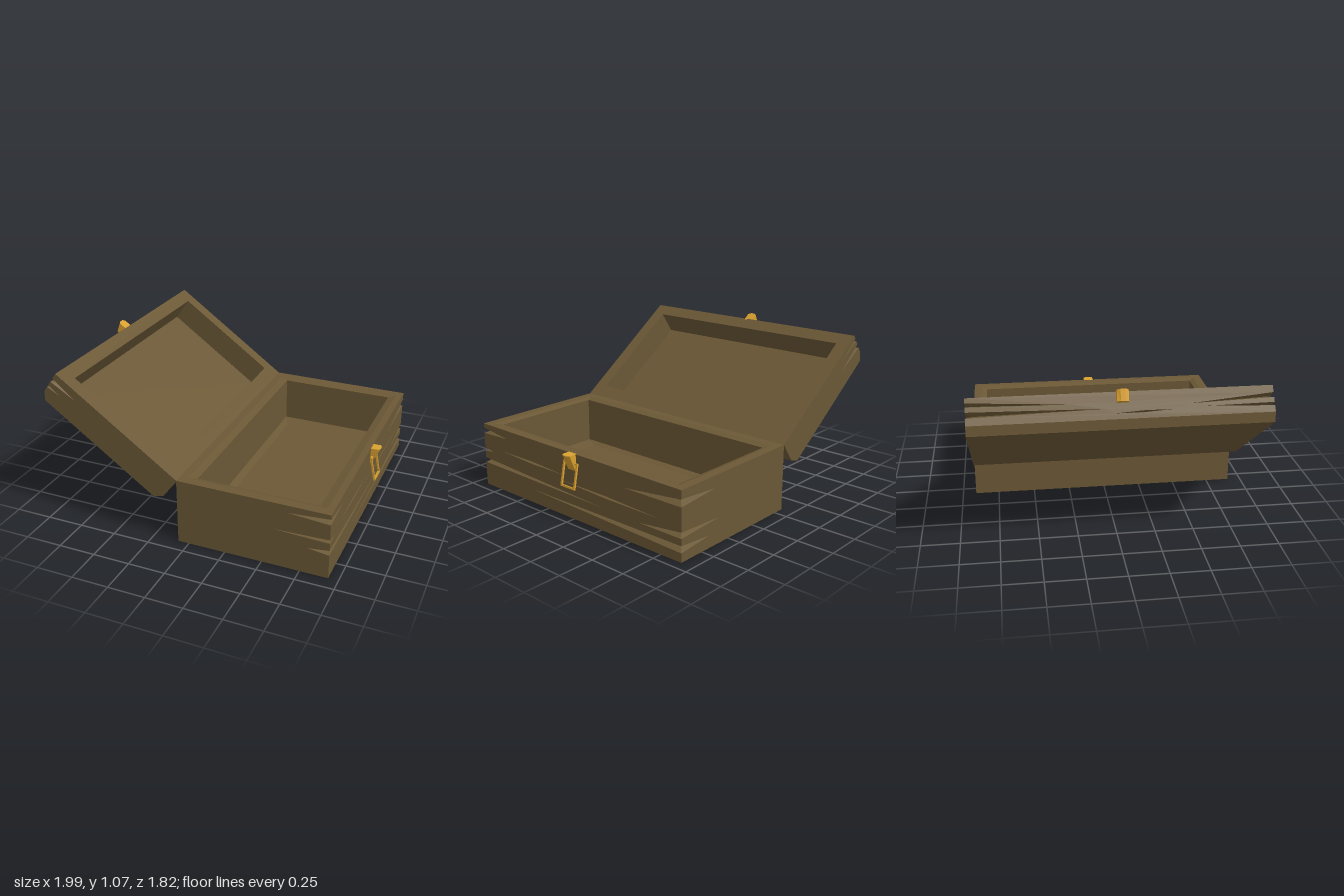
import * as THREE from 'three';

const V = (x, y, z) => new THREE.Vector3(x, y, z);
const LEN = 1.01, HALF = 0.91; // front-to-back length, half width

const wood = new THREE.MeshStandardMaterial({ color: 0x6b5836, flatShading: true });
const brass = new THREE.MeshStandardMaterial({ color: 0xd9a030, flatShading: true });

// Collects flat faces; each triangle is turned to face the given direction
class Faces {
  constructor() { this.pos = []; }
  tri(a, b, c, dir) {
    const n = b.clone().sub(a).cross(c.clone().sub(a));
    for (const p of n.dot(dir) < 0 ? [a, c, b] : [a, b, c]) this.pos.push(p.x, p.y, p.z);
  }
  quad(a, b, c, d, dir) { this.tri(a, b, c, dir); this.tri(a, c, d, dir); }
  // 2D outline with holes, mapped into space
  panel(outline, holes, map, dir) {
    const toV2 = (list) => list.map(([x, y]) => new THREE.Vector2(x, y));
    const o = toV2(outline), h = holes.map(toV2);
    const all = [...o, ...h.flat()].map((p) => map(p.x, p.y));
    for (const [a, b, c] of THREE.ShapeUtils.triangulateShape(o, h)) this.tri(all[a], all[b], all[c], dir);
  }
  geometry() {
    const g = new THREE.BufferGeometry();
    g.setAttribute('position', new THREE.Float32BufferAttribute(this.pos, 3));
    g.computeVertexNormals();
    return g;
  }
}

// Hollow wooden half: a profile (first edge = front face) swept across z,
// its rim at y = 0, with splits in the grain at the front corners.
function crackedTray({ profile, cavity, corners, slits }) {
  const f = new Faces(), up = V(0, 1, 0), down = V(0, -1, 0);
  const [[, y0], [, y1]] = profile;
  const notches = { 1: [], '-1': [] };

  // splits running round a front corner: [side, low, high, tip z, tip y, side length]
  for (const [s, lo, hi, tz, ty, len] of corners) {
    notches[s].push({ lo, hi, tz, ty, len });
    const mid = (lo + hi) / 2, z = s * HALF;
    const tip = V(LEN, ty, tz), end = V(LEN - len, mid, z), deep = V(LEN - 0.04, mid, z - s * 0.04);
    for (const [y, dir] of [[hi, down], [lo, up]]) {
      f.tri(V(LEN, y, z), tip, deep, dir);
      f.tri(V(LEN, y, z), deep, end, dir);
    }
  }

  // side faces
  for (const s of [1, -1]) {
    notches[s].sort((a, b) => a.lo - b.lo);
    const edge = notches[s].flatMap((n) => [[LEN, n.lo], [LEN - n.len, (n.lo + n.hi) / 2], [LEN, n.hi]]);
    f.panel([profile[0], ...edge, ...profile.slice(1)], [], (x, y) => V(x, y, s * HALF), V(0, 0, s));
  }

  // front face, with slits inside it: [z start, y start, z end, y end, width]
  const rise = (s) => notches[s].flatMap((n) => [[s * HALF, n.lo], [n.tz, n.ty], [s * HALF, n.hi]]);
  const holes = slits.map(([za, ya, zb, yb, w]) => {
    const z = (za + zb) / 2, y = (ya + yb) / 2, deep = V(LEN - 0.02, y, z);
    for (const [edge, dir] of [[y + w / 2, down], [y - w / 2, up]])
      for (const [tz, ty] of [[za, ya], [zb, yb]]) f.tri(V(LEN, ty, tz), V(LEN, edge, z), deep, dir);
    return [[za, ya], [z, y + w / 2], [zb, yb], [z, y - w / 2]];
  });
  f.panel([[-HALF, y0], [HALF, y0], ...rise(1), [HALF, y1], [-HALF, y1], ...rise(-1).reverse()],
    holes, (z, y) => V(LEN, y, z), V(1, 0, 0));

  // remaining outer faces
  for (let i = 1; i < profile.length; i++) {
    const [ax, ay] = profile[i], [bx, by] = profile[(i + 1) % profile.length];
    if (ay === 0 && by === 0) continue;
    f.quad(V(ax, ay, -HALF), V(bx, by, -HALF), V(bx, by, HALF), V(ax, ay, HALF), V(by - ay, ax - bx, 0));
  }

  // rim, cavity walls and floor, from rings [inset x, inset z, y]
  const rings = cavity.map(([ix, iz, y]) => {
    const a = 0.105 + ix, b = 0.915 - ix, z = 0.815 - iz;
    return [V(a, y, -z), V(b, y, -z), V(b, y, z), V(a, y, z)];
  });
  const last = rings[rings.length - 1], open = last[0].y < 0 ? up : down;
  f.panel([[0, -HALF], [LEN, -HALF], [LEN, HALF], [0, HALF]],
    [rings[0].map((p) => [p.x, p.z])], (x, z) => V(x, 0, z), open);
  for (let r = 1; r < rings.length; r++) {
    for (let i = 0; i < 4; i++) {
      const j = (i + 1) % 4, a = rings[r - 1][i], b = rings[r - 1][j];
      const inward = V(LEN / 2 - (a.x + b.x) / 2, 0, -(a.z + b.z) / 2).normalize().addScaledVector(open, 0.2);
      f.quad(a, b, rings[r][j], rings[r][i], inward);
    }
  }
  f.quad(...last, open);
  return f.geometry();
}

// Faceted catch, tapering from its thick end at y = 0
function catchBlock(height, thin, dir) {
  const d = 0.063;
  const plan = new THREE.Shape([[-0.01, -0.035], [d * 0.8, -0.035], [d, -0.014], [d, 0.014], [d * 0.8, 0.035], [-0.01, 0.035]]
    .map(([x, y]) => new THREE.Vector2(x, y)));
  const g = new THREE.ExtrudeGeometry(plan, { depth: height, bevelEnabled: false }).rotateX(-Math.PI / 2);
  if (dir < 0) g.translate(0, -height, 0);
  const p = g.attributes.position;
  for (let i = 0; i < p.count; i++) {
    const t = Math.abs(p.getY(i)) / height;
    if (p.getX(i) > 0) p.setX(i, p.getX(i) * (1 - t * (1 - thin)));
  }
  g.translate(LEN, 0, 0).computeVertexNormals();
  return g;
}

function add(parent, name, geometry, material) {
  const mesh = new THREE.Mesh(geometry, material);
  mesh.name = name;
  parent.add(mesh);
  return mesh;
}

export function createModel() {
  const model = new THREE.Group();
  model.name = 'woodenBox';

  // Both halves share the hinge line as their origin
  const base = new THREE.Group();
  base.name = 'base';
  const lid = new THREE.Group();
  lid.name = 'lid';
  for (const half of [base, lid]) {
    half.position.set(-0.075, 0.45, 0);
    model.add(half);
  }
  lid.rotation.z = THREE.MathUtils.degToRad(144.5);

  add(base, 'baseTray', crackedTray({
    profile: [[LEN, -0.45], [LEN, 0], [0, 0], [0, -0.45]],
    cavity: [[-0.05, -0.035, 0], [0, 0, -0.012], [0, 0, -0.33], [0.048, 0.095, -0.345]],
    corners: [
      [1, -0.07, -0.03, 0.66, -0.06, 0.27],
      [1, -0.2, -0.175, 0.82, -0.19, 0.37],
      [1, -0.285, -0.25, -0.27, -0.295, 0.14],
      [-1, -0.105, -0.055, -0.45, -0.11, 0.3],
      [-1, -0.3, -0.26, -0.58, -0.3, 0.35],
      [-1, -0.39, -0.345, 0.42, -0.355, 0.25],
    ],
    slits: [[0.71, -0.16, 0.1, -0.17, 0.018], [0.14, -0.21, -0.74, -0.225, 0.016]],
  }), wood);

  add(lid, 'lidTray', crackedTray({
    profile: [[LEN, 0], [LEN, 0.165], [0.975, 0.22], [0.045, 0.22], [0, 0.164], [0, 0]],
    cavity: [[0, 0, 0], [0, 0, 0.18]],
    corners: [
      [1, 0.045, 0.075, 0.4, 0.09, 0.2],
      [1, 0.105, 0.125, 0.5, 0.11, 0.1],
      [-1, 0.03, 0.055, -0.3, 0.065, 0.2],
      [-1, 0.085, 0.12, -0.1, 0.1, 0.25],
    ],
    slits: [[0.3, 0.12, -0.05, 0.13, 0.012]],
  }), wood);

  // Latch: a catch on each half and a swinging loop
  add(base, 'baseCatch', catchBlock(0.11, 0.12, -1), brass);
  add(lid, 'lidCatch', catchBlock(0.068, 0.7, 1), brass);

  const rect = (w, h) => [[-w, -h], [w, -h], [w, h], [-w, h]].map(([x, y]) => new THREE.Vector2(x, y));
  const frame = new THREE.Shape(rect(0.065, 0.085));
  frame.holes.push(new THREE.Path(rect(0.053, 0.073)));
  const loopGeometry = new THREE.ExtrudeGeometry(frame, { depth: 0.012, bevelEnabled: false })
    .translate(0, 0, -0.006).rotateY(Math.PI / 2);
  const loop = add(base, 'latchLoop', loopGeometry, brass);
  loop.position.set(1.038, -0.138, 0);
  loop.rotation.z = 0.2;

  return model;
}
